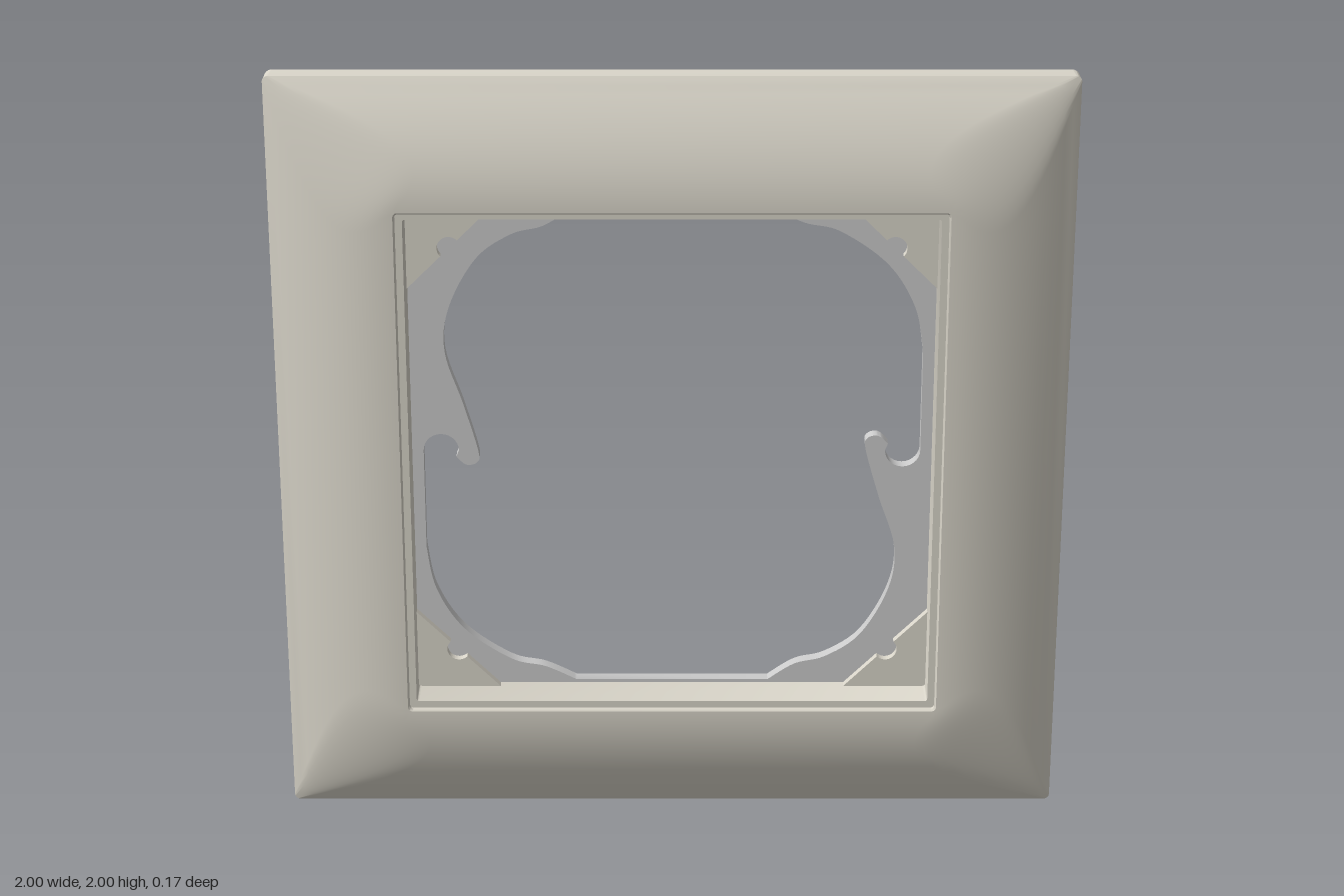
import * as THREE from 'three';
import { toCreasedNormals } from 'three/addons/utils/BufferGeometryUtils.js';

const V2 = (x, y) => new THREE.Vector2(x, y);
const frameMat = new THREE.MeshStandardMaterial({ color: 0xdad6ca });
const plateMat = new THREE.MeshStandardMaterial({ color: 0xcccccc });

// Rounded square of half-size r and corner radius c, counter-clockwise
function roundedSquare(r, c, steps = 10) {
  const pts = [];
  for (let q = 0; q < 4; q++) {
    const mid = Math.PI / 4 + q * Math.PI / 2;
    const cx = Math.sign(Math.cos(mid)) * (r - c), cy = Math.sign(Math.sin(mid)) * (r - c);
    for (let i = 0; i <= steps; i++) {
      const a = (q + i / steps) * Math.PI / 2;
      pts.push([cx + c * Math.cos(a), cy + c * Math.sin(a)]);
    }
  }
  return pts;
}

// Closed loft through square rings [half-size, corner radius, z]
function loftRings(rings) {
  const pos = [], index = [];
  rings.forEach(([r, c, z]) => roundedSquare(r, c).forEach(([x, y]) => pos.push(x, y, z)));
  const n = pos.length / 3 / rings.length;
  for (let i = 0; i < rings.length; i++) {
    for (let j = 0; j < n; j++) {
      const k = ((i + 1) % rings.length) * n, m = (j + 1) % n;
      const a = i * n + j, b = i * n + m, c = k + m, d = k + j;
      index.push(a, b, c, a, c, d);
    }
  }
  const geo = new THREE.BufferGeometry();
  geo.setAttribute('position', new THREE.Float32BufferAttribute(pos, 3));
  geo.setIndex(index);
  return toCreasedNormals(geo, 0.45);
}

// Hollow, domed cover frame
function coverFrame() {
  const rings = [[0.994, 0.015, -0.083], [1, 0.02, -0.077]];
  const dome = (t) => -0.025 + 0.108 * (1 - Math.pow(1 - t, 2));
  const corner = (t) => 0.015 + 0.17 * Math.sin(Math.PI * t);
  const N = 16;
  for (let i = 0; i <= N; i++) {
    const t = i / N;
    rings.push([1 - 0.31 * t, corner(t), dome(t)]);
  }
  // stepped opening and collar
  rings.push([0.684, 0.012, 0.083], [0.68, 0.01, 0.079], [0.68, 0.01, 0.068],
    [0.662, 0.008, 0.068], [0.662, 0.008, -0.042], [0.69, 0.01, -0.042]);
  // underside of the dome and rim
  for (let i = 8; i >= 0; i--) {
    const t = i / 8;
    rings.push([0.965 - 0.275 * t, corner(t), dome(t) - 0.03 + 0.02 * (1 - t)]);
  }
  rings.push([0.965, 0.015, -0.065], [0.975, 0.015, -0.065], [0.975, 0.015, -0.083]);
  return loftRings(rings);
}

// Half of the plate opening, ending with a spring hook; the other half is turned 180 degrees
function openingHalf() {
  const spline = (list, n) =>
    new THREE.SplineCurve(list.map(([x, y]) => V2(x, y))).getPoints(n);
  const pts = [V2(-0.25, 0.653)];
  pts.push(...spline([[0.25, 0.653], [0.33, 0.615], [0.42, 0.592], [0.54, 0.505],
    [0.61, 0.39], [0.633, 0.27]], 40));
  for (let i = 0; i <= 14; i++) {
    const a = -Math.PI * i / 14;
    pts.push(V2(0.588 + 0.045 * Math.cos(a), 0.045 * Math.sin(a)));
  }
  pts.push(...spline([[0.55, 0.018], [0.525, 0.04], [0.497, 0.033], [0.494, 0], [0.53, -0.13],
    [0.573, -0.27], [0.56, -0.39], [0.49, -0.52], [0.4, -0.585], [0.32, -0.607],
    [0.25, -0.653]], 60));
  pts.pop();
  return pts;
}

// Mounting plate with chamfered corners, edge notches, hooks and curved slots
function mountingPlate() {
  const edge = [[0.66, 0.88], [0.49, 0.88], [0.47, 0.81], [0.27, 0.81], [0.25, 0.86],
    [-0.25, 0.86], [-0.27, 0.81], [-0.47, 0.81], [-0.49, 0.88], [-0.66, 0.88]];
  const outline = [];
  for (let q = 0; q < 4; q++) {
    edge.forEach(([x, y]) => outline.push(V2(x, y).rotateAround(V2(0, 0), q * Math.PI / 2)));
  }
  const shape = new THREE.Shape(outline);
  const half = openingHalf();
  shape.holes.push(new THREE.Path([...half, ...half.map((p) => V2(-p.x, -p.y))]));
  for (let q = 0; q < 4; q++) {
    const mid = Math.PI / 4 + q * Math.PI / 2, s = 0.27, R = 0.43, w = 0.05;
    const cx = 0.46 * Math.cos(mid), cy = 0.46 * Math.sin(mid);
    const end = (a, turn) => slot.absarc(cx + R * Math.cos(a), cy + R * Math.sin(a), w,
      a + turn, a + turn + Math.PI, false);
    const slot = new THREE.Path();
    slot.absarc(cx, cy, R + w, mid - s, mid + s, false);
    end(mid + s, 0);
    slot.absarc(cx, cy, R - w, mid + s, mid - s, true);
    end(mid - s, Math.PI);
    shape.holes.push(slot);
  }
  const geo = new THREE.ExtrudeGeometry(shape, { depth: 0.033, bevelEnabled: false, curveSegments: 10 });
  return toCreasedNormals(geo.translate(0, 0, -0.074), 0.5);
}

// Triangular corner web with a round notch in its long edge
function cornerWeb() {
  const s = new THREE.Shape();
  s.moveTo(0.68, 0.68);
  s.lineTo(0.43, 0.68);
  s.absarc(0.555, 0.555, 0.03, Math.PI * 0.75, -Math.PI * 0.25, true);
  s.lineTo(0.68, 0.43);
  return new THREE.ExtrudeGeometry(s, { depth: 0.022, bevelEnabled: false }).translate(0, 0, -0.042);
}

// Slim snap clip: stem under the dome with a small wedge at the plate edge
function snapClip() {
  const s = new THREE.Shape([V2(0.9, 0.02), V2(0.825, 0.035), V2(0.825, -0.072),
    V2(0.84, -0.08), V2(0.86, -0.08)]);
  const geo = new THREE.ExtrudeGeometry(s, { depth: 0.025, bevelEnabled: false });
  return geo.translate(0, 0, -0.0125).rotateX(Math.PI / 2);
}

export function createModel() {
  const group = new THREE.Group();
  const add = (geo, mat, name) => {
    const mesh = new THREE.Mesh(geo, mat);
    mesh.name = name;
    mesh.position.y = 1;
    group.add(mesh);
    return mesh;
  };
  add(coverFrame(), frameMat, 'coverFrame');
  add(mountingPlate(), plateMat, 'mountingPlate');

  const web = cornerWeb(), clip = snapClip();
  for (let q = 0; q < 4; q++) {
    const a = q * Math.PI / 2;
    add(web, frameMat, 'cornerWeb').rotation.z = a;
    for (const side of [-1, 1]) {
      const mesh = add(clip, frameMat, 'snapClip');
      mesh.rotation.z = a;
      mesh.position.x = -Math.sin(a) * side * 0.285;
      mesh.position.y = 1 + Math.cos(a) * side * 0.285;
    }
  }
  return group;
}
